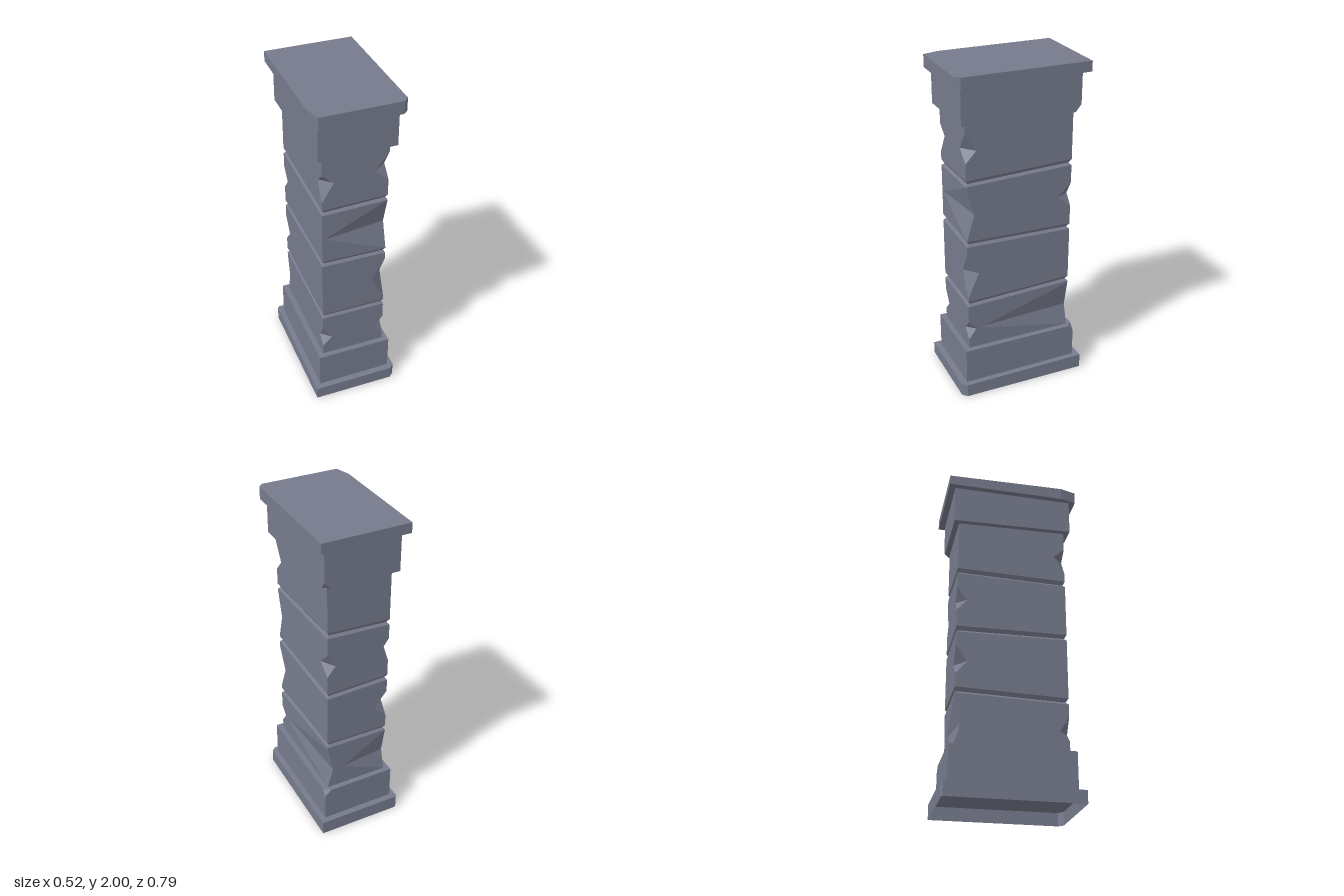
import * as THREE from 'three';

// Corner order, counter-clockwise seen from above
const CORNERS = [[1, 1], [1, -1], [-1, -1], [-1, 1]];

// A ring has two points per corner; at(i) gives [y, cut along x, cut along z]
function ring(hx, hz, at) {
  const pts = [];
  CORNERS.forEach(([sx, sz], i) => {
    const [y, a = 0, b = 0] = at(i);
    const px = new THREE.Vector3(sx * (hx - a), y, sz * hz);
    const pz = new THREE.Vector3(sx * hx, y, sz * (hz - b));
    pts.push(...(i % 2 ? [pz, px] : [px, pz]));
  });
  return pts;
}

// Flat-shaded skin through the rings, with optional end caps
function loft(rings, capBottom, capTop) {
  const pos = [];
  const tri = (a, b, c) => {
    const area = b.clone().sub(a).cross(c.clone().sub(a)).length();
    if (area > 1e-9) pos.push(...a.toArray(), ...b.toArray(), ...c.toArray());
  };
  for (let k = 0; k < rings.length - 1; k++) {
    const lo = rings[k], hi = rings[k + 1];
    for (let i = 0; i < 8; i++) {
      const j = (i + 1) % 8;
      tri(lo[i], lo[j], hi[j]);
      tri(lo[i], hi[j], hi[i]);
    }
  }
  const first = rings[0], last = rings[rings.length - 1];
  for (let i = 1; i < 7; i++) {
    if (capBottom) tri(first[0], first[i + 1], first[i]);
    if (capTop) tri(last[0], last[i], last[i + 1]);
  }
  const g = new THREE.BufferGeometry();
  g.setAttribute('position', new THREE.Float32BufferAttribute(pos, 3));
  g.computeVertexNormals();
  return g;
}

// Shaft stone between two seams; chips[i] = [low y, mid y, high y, x cut, z cut]
function shaftStone(bottom, top, chips) {
  const hx = 0.193, hz = 0.326, inset = 0.014;
  const lowEdge = i => bottom[i] + 0.022;
  const highEdge = i => top[i] - 0.014;
  const chip = (i, n) => {
    const lo = lowEdge(i), hi = highEdge(i), c = chips[i];
    if (!c) return [lo + (hi - lo) * (n + 1) / 4];
    return n === 1 ? [c[1], c[3], c[4]] : [n ? Math.min(c[2], hi) : Math.max(c[0], lo)];
  };
  return loft([
    ring(hx - inset, hz - inset, i => [bottom[i]]),
    ring(hx, hz, i => [lowEdge(i)]),
    ...[0, 1, 2].map(n => ring(hx, hz, i => chip(i, n))),
    ring(hx, hz, i => [highEdge(i)]),
    ring(hx - inset, hz - inset, i => [top[i]]),
  ]);
}

export function createModel() {
  const group = new THREE.Group();
  const stone = new THREE.MeshStandardMaterial({ color: 0x767a8c, side: THREE.DoubleSide });
  stone.name = 'slate stone';
  const add = (name, geometry) => {
    const mesh = new THREE.Mesh(geometry, stone);
    mesh.name = name;
    group.add(mesh);
  };

  // Base plate, hollow underneath
  const baseCuts = [[0.028, 0.028], [0, 0], [0.012, 0.012], [0, 0]];
  const baseTop = [0.08, 0.088, 0.088, 0.076];
  add('basePlate', loft([
    ring(0.261, 0.396, i => [0, ...baseCuts[i]]),
    ring(0.261, 0.396, i => [baseTop[i], ...baseCuts[i]]),
  ], false, true));

  // Lower block with a chipped rear corner
  const chipped = (i, y) => (i === 1 ? [y, 0.04, 0.035] : [y]);
  add('lowerBlock', loft([
    ring(0.227, 0.358, () => [0.07]),
    ring(0.227, 0.358, () => [0.262]),
    ring(0.227, 0.358, i => chipped(i, 0.3)),
  ], true, true));

  // Four shaft stones, divided by sloping grooves
  const seams = [
    [0.27, 0.27, 0.27, 0.27],
    [0.598, 0.624, 0.62, 0.6],
    [0.994, 0.982, 0.995, 1.0],
    [1.368, 1.392, 1.375, 1.356],
    [1.745, 1.745, 1.745, 1.745],
  ];
  const chips = [
    [[0.36, 0.42, 0.48, 0.055, 0.055], [0.3, 0.43, 0.6, 0.035, 0.6],
      [0.3, 0.43, 0.6, 0.28, 0.035], [0.365, 0.42, 0.51, 0.058, 0.055]],
    [[0.64, 0.8, 0.94, 0.078, 0.07], null, [0.72, 0.8, 0.9, 0.08, 0.065], null],
    [[1.0, 1.18, 1.36, 0.37, 0.048], [1.12, 1.185, 1.27, 0.05, 0.083],
      [1.12, 1.19, 1.27, 0.055, 0.06], null],
    [[1.49, 1.56, 1.67, 0.08, 0.065], null, null, [1.43, 1.545, 1.6, 0.07, 0.065]],
  ];
  chips.forEach((c, n) => add('shaftStone' + (n + 1), shaftStone(seams[n], seams[n + 1], c)));

  // Upper block with a chipped rear corner underneath
  const underside = [1.72, 1.707, 1.707, 1.715];
  add('upperBlock', loft([
    ring(0.225, 0.358, i => chipped(i, underside[i])),
    ring(0.225, 0.358, () => [1.75]),
    ring(0.225, 0.358, () => [1.945]),
  ], true, true));

  // Cap plate with two cut front corners
  const capCuts = [[0.028, 0.028], [0, 0], [0, 0], [0.028, 0.095]];
  const capBottom = [1.926, 1.94, 1.94, 1.926];
  add('capPlate', loft([
    ring(0.261, 0.396, i => [capBottom[i], ...capCuts[i]]),
    ring(0.261, 0.396, i => [2, ...capCuts[i]]),
  ], true, true));

  return group;
}
